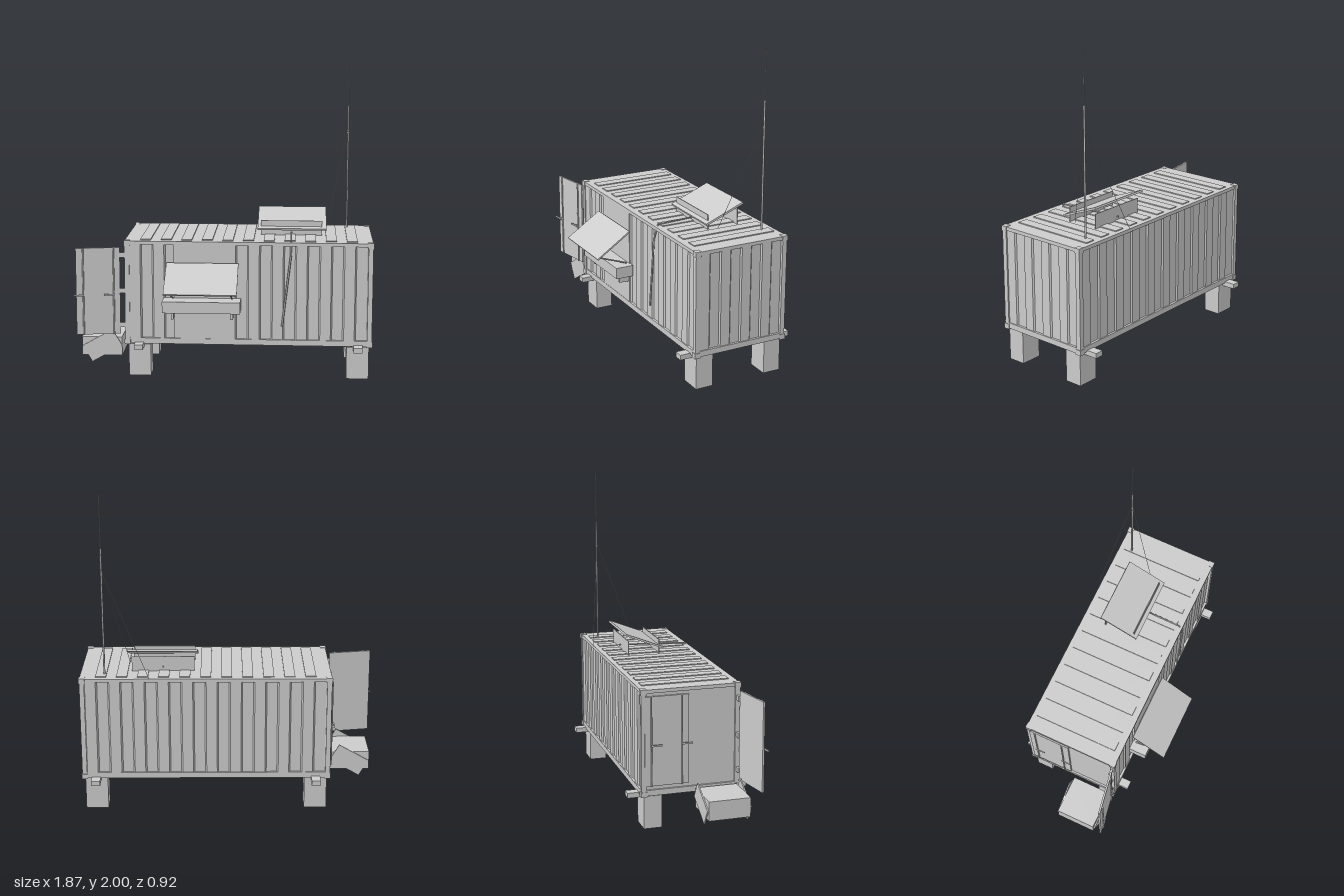
import * as THREE from 'three';

const mat = new THREE.MeshStandardMaterial({ color: 0xcccccc, side: THREE.DoubleSide });

function add(parent, name, geo, x = 0, y = 0, z = 0) {
  const m = new THREE.Mesh(geo, mat);
  m.name = name;
  m.position.set(x, y, z);
  parent.add(m);
  return m;
}

// Box given by its min and max on each axis
function box(parent, name, x0, x1, y0, y1, z0, z1) {
  return add(parent, name, new THREE.BoxGeometry(x1 - x0, y1 - y0, z1 - z0),
    (x0 + x1) / 2, (y0 + y1) / 2, (z0 + z1) / 2);
}

// Round bar between two points
function rod(parent, name, a, b, r, sides = 8) {
  const p = new THREE.Vector3(...a), q = new THREE.Vector3(...b);
  const m = add(parent, name, new THREE.CylinderGeometry(r, r, p.distanceTo(q), sides));
  m.position.copy(p).lerp(q, 0.5);
  m.quaternion.setFromUnitVectors(new THREE.Vector3(0, 1, 0), q.sub(p).normalize());
  return m;
}

// Thin sheet spanning x0..x1, sloping between two (y, z) edges
function sheet(parent, name, x0, x1, [ya, za], [yb, zb], t) {
  const m = add(parent, name, new THREE.BoxGeometry(x1 - x0, t, Math.hypot(yb - ya, zb - za)),
    (x0 + x1) / 2, (ya + yb) / 2, (za + zb) / 2);
  m.rotation.x = -Math.atan2(yb - ya, zb - za);
  return m;
}

const X0 = -0.62, X1 = 0.93, Z0 = -0.39, Z1 = 0.228, Y0 = 0.21, Y1 = 0.872;

// Walls: plan outline with trapezoid corrugations, extruded upwards
function walls() {
  const pts = [];
  const wave = (ax, az, bx, bz, n, nx, nz) => {
    for (let i = 0; i < n; i++) {
      for (const [f, d] of [[0.02, 0], [0.46, 0], [0.52, 0.009], [0.96, 0.009]]) {
        const t = (i + f) / n;
        pts.push(new THREE.Vector2(ax + (bx - ax) * t + nx * d, -(az + (bz - az) * t + nz * d)));
      }
    }
  };
  const i = 0.006;
  wave(X0 + 0.03, Z1 - i, X1 - 0.03, Z1 - i, 10, 0, -1);
  wave(X1 - i, Z1 - 0.03, X1 - i, Z0 + 0.03, 4, -1, 0);
  wave(X1 - 0.03, Z0 + i, X0 + 0.03, Z0 + i, 10, 0, 1);
  pts.push(new THREE.Vector2(X0 + 0.012, -(Z0 + i)), new THREE.Vector2(X0 + 0.012, -(Z1 - i)));
  const g = new THREE.ExtrudeGeometry(new THREE.Shape(pts), { depth: Y1 - Y0 - 0.02, bevelEnabled: false });
  return g.rotateX(-Math.PI / 2);
}

// Door leaf from its hinge along side s, with locking rods and handles on the outer face
function doorLeaf(s) {
  const g = new THREE.Group();
  const span = (name, a, b, y0, y1, z0, z1) =>
    box(g, name, Math.min(s * a, s * b), Math.max(s * a, s * b), y0, y1, z0, z1);
  span('doorPanel', 0, 0.275, 0.275, 0.83, -0.006, 0.006);
  for (const u of [0.04, 0.23]) {
    rod(g, 'lockingRod', [s * u, 0.275, 0.011], [s * u, 0.83, 0.011], 0.005);
    span('handleMount', u - 0.004, u + 0.004, 0.525, 0.54, 0.006, 0.028);
    span('doorHandle', u, u + 0.062, 0.527, 0.537, 0.022, 0.029);
  }
  return g;
}

export function createModel() {
  const model = new THREE.Group();
  model.name = 'containerCabin';

  // Container shell
  const shell = new THREE.Group();
  shell.name = 'container';
  model.add(shell);
  add(shell, 'corrugatedWalls', walls(), 0, Y0 + 0.01, 0);
  box(shell, 'roof', X0, X1, Y1 - 0.014, Y1, Z0, Z1);
  box(shell, 'floor', X0 + 0.01, X1 - 0.01, Y0, Y0 + 0.02, Z0 + 0.01, Z1 - 0.01);
  for (const [y0, y1] of [[Y0 + 0.004, 0.25], [0.85, Y1]]) {
    for (const z of [Z0, Z1 - 0.03]) box(shell, 'sideRail', X0, X1, y0, y1, z, z + 0.03);
    for (const x of [X0, X1 - 0.03]) box(shell, 'endRail', x, x + 0.03, y0, y1, Z0, Z1);
  }
  for (const x of [X0, X1 - 0.03]) for (const z of [Z0, Z1 - 0.03]) {
    box(shell, 'cornerPost', x, x + 0.03, Y0, Y1, z, z + 0.03);
    for (const y of [Y0 - 0.002, Y1 - 0.03]) {
      box(shell, 'cornerCasting', x - 0.004, x + 0.034, y, y + 0.033, z - 0.004, z + 0.034);
    }
  }
  for (let i = 0; i < 11; i++) {
    const x = -0.49 + i * 0.129;
    box(shell, 'roofRib', x - 0.033, x + 0.033, Y1 - 0.002, Y1 + 0.006, -0.36, 0.187);
  }

  // Stilts and cross beams
  for (const x of [-0.53, 0.843]) {
    box(model, 'crossBeam', x - 0.028, x + 0.028, 0.19, 0.222, -0.46, 0.295);
    for (const z of [-0.315, 0.155]) box(model, 'footing', x - 0.07, x + 0.07, 0, 0.205, z - 0.056, z + 0.056);
  }

  // End doors: one closed, one swung open
  const closed = doorLeaf(1);
  closed.name = 'closedDoor';
  closed.position.set(-0.618, 0, -0.37);
  closed.rotation.y = -Math.PI / 2;
  const open = doorLeaf(-1);
  open.name = 'openDoor';
  open.position.set(-0.65, 0, 0.22);
  open.rotation.y = 0.17;
  model.add(closed, open);
  for (const y of [0.33, 0.55, 0.78]) box(model, 'doorHinge', -0.655, -0.615, y - 0.015, y + 0.015, 0.205, 0.22);

  // Entry step with slanted side boards
  box(model, 'step', -0.9, -0.645, 0.125, 0.245, -0.06, 0.2);
  for (const z of [-0.065, 0.205]) {
    const b = add(model, 'stepSideBoard', new THREE.BoxGeometry(0.22, 0.12, 0.008), -0.77, 0.19, z);
    b.rotation.z = Math.PI / 6;
  }

  // Serving window: plain panel, raised awning, struts, counter and brackets
  box(model, 'windowPanel', -0.31, 0.07, 0.25, 0.85, 0.2, 0.226);
  sheet(model, 'awning', -0.355, 0.095, [0.735, 0.235], [0.585, 0.457], 0.01);
  box(model, 'counter', -0.375, 0.11, 0.44, 0.512, 0.22, 0.337);
  for (const x of [-0.315, 0.055]) {
    rod(model, 'awningStrut', [x, 0.515, 0.24], [x, 0.588, 0.448], 0.005);
    box(model, 'counterBracket', x - 0.008, x + 0.008, 0.39, 0.44, 0.22, 0.292);
  }

  // Roof solar panel on two upright boards
  sheet(model, 'solarPanel', 0.205, 0.642, [0.912, -0.005], [1.012, -0.258], 0.013);
  for (const z of [-0.03, -0.235]) box(model, 'panelSupport', 0.225, 0.615, 0.872, 0.965, z - 0.003, z + 0.003);

  // Cable over the roof and down the front wall
  rod(model, 'roofCable', [0.42, 0.9, -0.25], [0.42, 0.882, 0.205], 0.005);
  rod(model, 'cableBend', [0.42, 0.882, 0.205], [0.42, 0.79, 0.234], 0.005);
  rod(model, 'wallCable', [0.42, 0.79, 0.234], [0.368, 0.34, 0.234], 0.006);

  // Mast with guy wires
  const mx = 0.78, mz = -0.305;
  rod(model, 'mast', [mx, 0.87, mz], [mx, 1.67, mz], 0.006, 10);
  rod(model, 'mastTip', [mx, 1.67, mz], [mx, 2, mz], 0.003, 8);
  rod(model, 'guyWire', [mx, 1.53, mz], [0.5, 0.88, -0.405], 0.0015, 5);
  rod(model, 'guyWire', [mx, 1.53, mz], [0.635, 0.88, -0.09], 0.0015, 5);

  return model;
}
